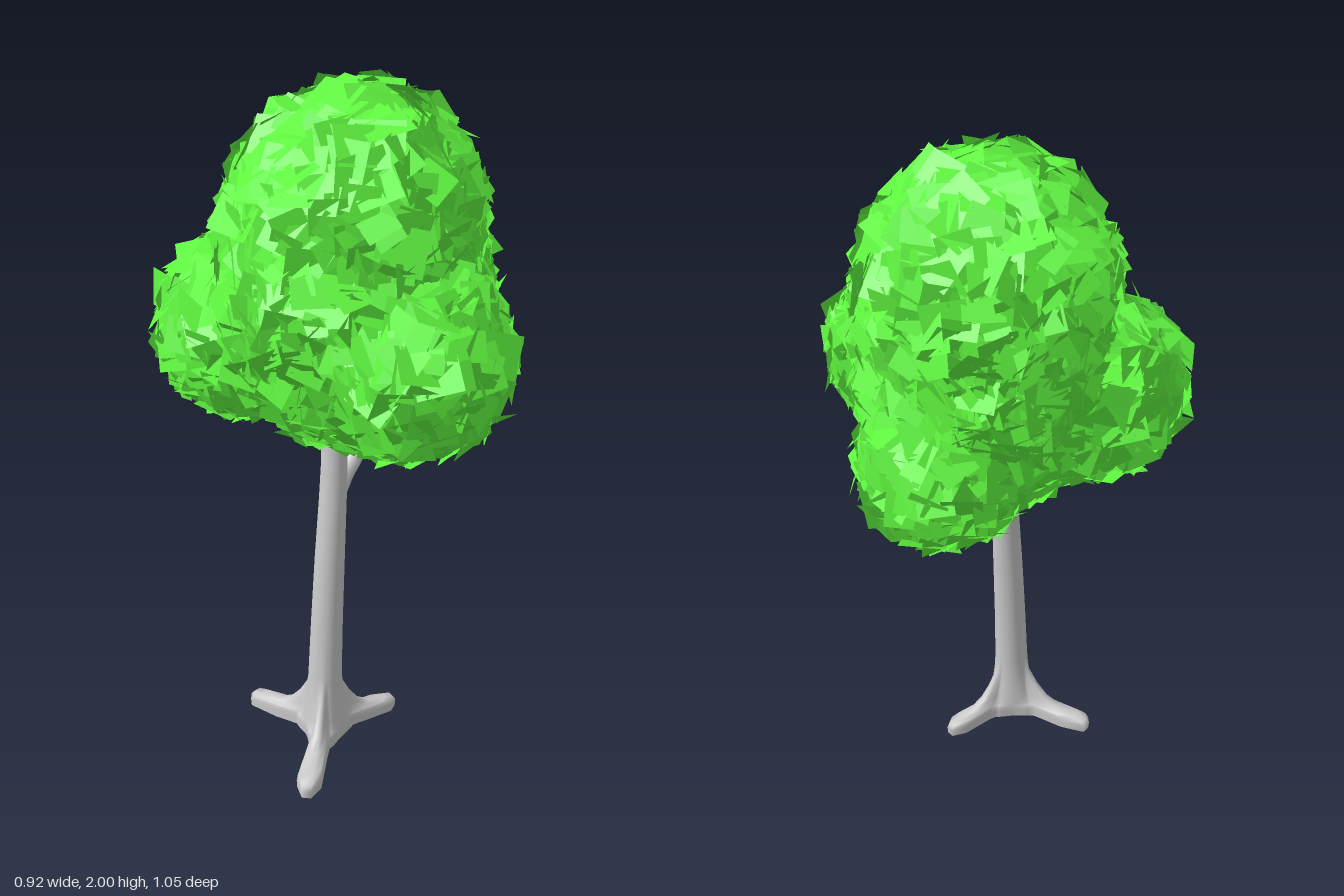
import * as THREE from 'three';
import { mergeGeometries, mergeVertices } from 'three/addons/utils/BufferGeometryUtils.js';

const V = (x, y, z) => new THREE.Vector3(x, y, z);

// Small seeded generator, returns values in -1..1
let seed = 7;
const rnd = () => {
  seed = (seed * 16807) % 2147483647;
  return (seed / 2147483647) * 2 - 1;
};

// Root tips, measured from the trunk foot
const ROOTS = [[-0.27, 0.14], [0.21, 0.09], [-0.02, -0.255]].map(([x, z]) => ({
  angle: Math.atan2(z, x), length: Math.hypot(x, z),
}));

// How far the roots push the outline out at a given angle
function rootReach(theta) {
  let sum = 0;
  for (const { angle, length } of ROOTS) {
    const d = Math.atan2(Math.sin(theta - angle), Math.cos(theta - angle));
    sum += (length - 0.05) * (0.82 * Math.exp(-((d / 0.19) ** 4)) + 0.18 * Math.exp(-((d / 0.55) ** 2)));
  }
  return sum;
}

// Horizontal rings: [y, centre x, centre z, radius, share of root reach]
function loftRings(rows, sides = 72) {
  const pos = [], index = [];
  rows.forEach(([y, cx, cz, r, reach], i) => {
    for (let j = 0; j < sides; j++) {
      const t = (j / sides) * Math.PI * 2;
      const rad = r + reach * rootReach(t);
      pos.push(cx + rad * Math.cos(t), y, cz + rad * Math.sin(t));
      if (i === rows.length - 1) continue;
      const a = i * sides + j, b = i * sides + (j + 1) % sides;
      index.push(a, a + sides, b, b, a + sides, b + sides);
    }
  });
  const g = new THREE.BufferGeometry();
  g.setAttribute('position', new THREE.Float32BufferAttribute(pos, 3));
  g.setIndex(index);
  g.computeVertexNormals();
  return g;
}

// Tube whose radius follows a list of values along its path
function limb(points, radii, sides = 12) {
  const curve = new THREE.CatmullRomCurve3(points);
  const steps = 20;
  let g = new THREE.TubeGeometry(curve, steps, 1, sides);
  const p = g.attributes.position, v = V(0, 0, 0);
  for (let i = 0; i <= steps; i++) {
    const c = curve.getPointAt(i / steps);
    const f = (i / steps) * (radii.length - 1);
    const k = Math.min(Math.floor(f), radii.length - 2);
    const r = THREE.MathUtils.lerp(radii[k], radii[k + 1], f - k);
    for (let j = 0; j <= sides; j++) {
      const n = i * (sides + 1) + j;
      v.fromBufferAttribute(p, n).sub(c).multiplyScalar(r).add(c);
      p.setXYZ(n, v.x, v.y, v.z);
    }
  }
  g.deleteAttribute('uv');
  g.deleteAttribute('normal');
  g = mergeVertices(g, 1e-5);
  g.computeVertexNormals();
  return g;
}

// Crown lobes: centre and radii of overlapping ellipsoids
const LOBES = [
  [V(0, 1.4, 0), V(0.35, 0.45, 0.35)],          // core
  [V(-0.01, 1.59, 0), V(0.36, 0.37, 0.33)],     // top
  [V(-0.16, 1.42, 0), V(0.26, 0.36, 0.3)],      // right side
  [V(0.22, 1.18, 0), V(0.215, 0.23, 0.23)],     // low left side
  [V(-0.09, 1.3, 0.26), V(0.27, 0.26, 0.24)],   // front
  [V(-0.16, 1.29, -0.25), V(0.25, 0.25, 0.24)], // back
];

// Outermost lobe hit along a ray from the crown centre, with its normal
function crownHit(origin, dir) {
  let best = 0, normal = dir.clone();
  for (const [c, r] of LOBES) {
    const o = origin.clone().sub(c).divide(r), d = dir.clone().divide(r);
    const A = d.dot(d), B = o.dot(d), disc = B * B - A * (o.dot(o) - 1);
    if (disc < 0) continue;
    const t = (-B + Math.sqrt(disc)) / A;
    if (t > best) {
      best = t;
      normal = o.addScaledVector(d, t).divide(r).normalize();
    }
  }
  return { point: origin.clone().addScaledVector(dir, best), normal };
}

// Flat leaf cards scattered over the crown, loosely following its surface
function crownGeometry(count) {
  const cards = [], origin = V(-0.02, 1.38, 0), helper = new THREE.Object3D();
  for (let i = 0; i < count; i++) {
    const y = 1 - (2 * (i + 0.5)) / count, s = Math.sqrt(1 - y * y), a = i * 2.399963;
    const { point, normal } = crownHit(origin, V(s * Math.cos(a), y, s * Math.sin(a)));
    helper.position.copy(point).addScaledVector(normal, -0.012 + 0.014 * rnd());
    helper.lookAt(helper.position.clone().add(normal));
    helper.rotateZ(rnd() * 0.6);
    helper.rotateX(rnd() * 0.5);
    helper.rotateY(rnd() * 0.5);
    helper.updateMatrix();
    const card = new THREE.PlaneGeometry(0.1 + 0.03 * rnd(), 0.1 + 0.03 * rnd());
    cards.push(card.applyMatrix4(helper.matrix));
  }
  const g = mergeGeometries(cards);
  g.computeBoundingBox();
  return g.translate(0, 2 - g.boundingBox.max.y, 0);
}

export function createModel() {
  const tree = new THREE.Group();
  tree.name = 'tree';
  const bark = new THREE.MeshStandardMaterial({ color: 0xcccccc });
  const green = new THREE.MeshStandardMaterial({ color: 0x5ff53f, side: THREE.DoubleSide });
  const add = (name, geometry, material) => {
    const mesh = new THREE.Mesh(geometry, material);
    mesh.name = name;
    tree.add(mesh);
  };

  // Trunk with flared roots
  const foot = [0, -0.14, -0.015, 0.06, 1];
  add('trunk', loftRings([
    foot,
    [0.025, -0.14, -0.015, 0.062, 1],
    [0.038, -0.14, -0.015, 0.062, 0.95],
    [0.045, -0.14, -0.015, 0.062, 0.8],
    [0.052, -0.14, -0.015, 0.062, 0.48],
    [0.075, -0.14, -0.015, 0.06, 0.3],
    [0.115, -0.14, -0.015, 0.055, 0.16],
    [0.165, -0.14, -0.015, 0.051, 0.04],
    [0.22, -0.138, -0.015, 0.049, 0],
    [0.4, -0.128, -0.014, 0.046, 0],
    [0.6, -0.114, -0.013, 0.043, 0],
    [0.8, -0.095, -0.014, 0.039, 0],
    [0.9, -0.088, -0.014, 0.037, 0],
    [0.98, -0.084, -0.016, 0.036, 0],
  ]), bark);
  add('rootUnderside', loftRings([[0, -0.14, -0.015, 0, 0], foot]), bark);

  // Limbs running into the crown
  add('upperLimb', limb(
    [V(-0.086, 0.93, -0.015), V(-0.086, 1.0, -0.02), V(-0.11, 1.04, -0.04), V(-0.16, 1.07, -0.08)],
    [0.034, 0.036, 0.034, 0.03, 0.028, 0]), bark);
  add('sideBranch', limb(
    [V(-0.095, 0.78, -0.014), V(-0.06, 0.85, -0.008), V(-0.01, 0.9, 0), V(0.012, 0.97, 0.01), V(0.03, 1.07, 0.015)],
    [0.028, 0.03, 0.026, 0.023, 0.02, 0]), bark);

  add('leafCrown', crownGeometry(1500), green);
  return tree;
}
